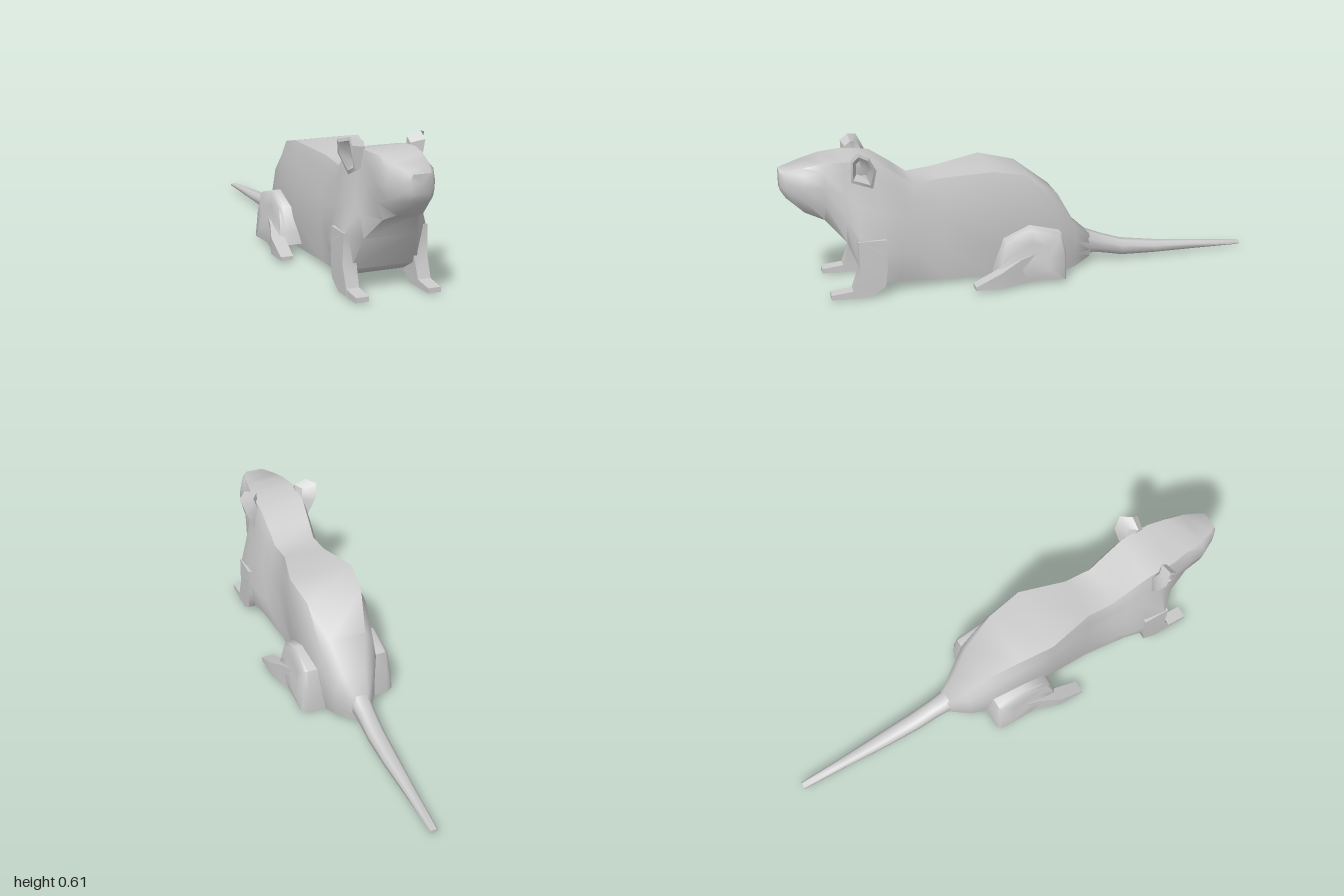
import * as THREE from 'three';
import { toCreasedNormals } from 'three/addons/utils/BufferGeometryUtils.js';

const material = new THREE.MeshStandardMaterial({ color: 0xcccccc, side: THREE.DoubleSide });

// Closed skin over a row of equal-length rings of [x, y, z], capped at both ends.
function loft(name, rings, crease = 1.0) {
  const n = rings[0].length;
  const pos = rings.flat();
  const index = [];
  for (let r = 0; r < rings.length - 1; r++) {
    for (let i = 0; i < n; i++) {
      const a = r * n + i, b = r * n + (i + 1) % n;
      index.push(a, b, b + n, a, b + n, a + n);
    }
  }
  for (const [r, flip] of [[0, true], [rings.length - 1, false]]) {
    const m = pos.length;
    pos.push([0, 1, 2].map(k => rings[r].reduce((s, p) => s + p[k], 0) / n));
    for (let i = 0; i < n; i++) {
      const a = r * n + i, b = r * n + (i + 1) % n;
      index.push(...(flip ? [m, b, a] : [m, a, b]));
    }
  }
  // turn the skin outward if its signed volume is negative
  const v = i => new THREE.Vector3(...pos[i]);
  let volume = 0;
  for (let i = 0; i < index.length; i += 3) {
    volume += v(index[i]).dot(v(index[i + 1]).cross(v(index[i + 2])));
  }
  if (volume < 0) index.reverse();
  const geo = new THREE.BufferGeometry();
  geo.setAttribute('position', new THREE.Float32BufferAttribute(pos.flat(), 3));
  geo.setIndex(index);
  const mesh = new THREE.Mesh(toCreasedNormals(geo, crease), material);
  mesh.name = name;
  return mesh;
}

// Symmetric ring at z from the points of its +x half, top to bottom.
const symmetric = (z, half) => [
  ...half.map(([x, y]) => [x, y, z]),
  ...half.slice().reverse().map(([x, y]) => [-x, y, z]),
];

// Rectangular rings, upright at z and level at y.
const upright = (z, x0, x1, y0, y1) => [[x0, y0, z], [x1, y0, z], [x1, y1, z], [x0, y1, z]];
const level = (y, x0, x1, z0, z1) => [[x0, y, z0], [x1, y, z0], [x1, y, z1], [x0, y, z1]];

function createBody() {
  // z, top, bottom, then half widths at top, middle, low and bottom
  const sections = [
    [1.00, .525, .45, .035, .043, .043, .035],
    [.98, .53, .42, .045, .062, .06, .045],
    [.91, .545, .355, .07, .10, .092, .055],
    [.83, .563, .32, .085, .105, .10, .07],
    [.75, .566, .23, .10, .106, .125, .11],
    [.70, .566, .10, .10, .12, .175, .14],
    [.62, .553, .055, .10, .13, .178, .15],
    [.54, .50, .05, .095, .125, .165, .13],
    [.47, .45, .042, .09, .115, .14, .12],
    [.35, .465, .03, .09, .105, .11, .105],
    [.15, .489, .022, .14, .152, .14, .105],
    [0, .455, .014, .12, .15, .14, .105],
    [-.14, .35, .005, .08, .13, .125, .105],
    [-.22, .212, .02, .05, .09, .09, .08],
    [-.30, .14, .04, .025, .038, .037, .03],
  ];
  return loft('body', sections.map(([z, top, bottom, wTop, wMid, wLow, wBottom]) => {
    const y = t => top + (bottom - top) * t;
    return symmetric(z, [
      [wTop, top], [wTop * .3 + wMid * .7, y(.13)], [wMid, y(.4)], [wLow, y(.7)], [wBottom, bottom],
    ]);
  }));
}

function createTail() {
  // z, bottom, top, half width
  const sections = [
    [-.20, .06, .21, .06], [-.27, .055, .158, .043], [-.36, .045, .122, .037],
    [-.45, .027, .092, .036], [-.60, .022, .07, .032], [-.80, .02, .052, .022],
    [-1.0, .018, .034, .016],
  ];
  return loft('tail', sections.map(([z, bottom, top, w]) => {
    const q = (top - bottom) * .3;
    return symmetric(z, [[w * .55, top], [w, top - q], [w, bottom + q], [w * .55, bottom]]);
  }));
}

function createFrontLeg() {
  const leg = new THREE.Group();
  leg.name = 'frontLeg';
  leg.add(loft('foreleg', [
    level(.25, .10, .175, .60, .715), level(.13, .12, .178, .60, .71),
    level(.05, .123, .177, .61, .74), level(.012, .123, .177, .67, .75),
  ]));
  leg.add(loft('frontPaw', [
    upright(.67, .123, .176, .01, .05), upright(.83, .123, .176, .013, .033),
  ]));
  return leg;
}

function createHindLeg() {
  const leg = new THREE.Group();
  leg.name = 'hindLeg';
  // side outline of the thigh as [z, y]
  const outline = [[.15, .05], [.14, .10], [.11, .20], [0, .25], [-.13, .212], [-.15, .12], [-.15, .01], [.02, .018]];
  const slice = (x, s, lean) => outline.map(([z, y]) =>
    [x + lean * (.25 - y), .12 + (y - .12) * s, z * s]);
  leg.add(loft('thigh', [slice(.10, 1, 0), slice(.175, 1, .03), slice(.187, .92, .09), slice(.192, .5, .1)]));
  leg.add(loft('hindFoot', [
    upright(-.02, .15, .20, .017, .14), upright(.05, .17, .214, .017, .125),
    upright(.14, .185, .243, .017, .085), upright(.25, .192, .245, .02, .035),
  ]));
  return leg;
}

function createEar() {
  const rim = [
    [.15, .585, .73], [.145, .612, .70], [.18, .60, .66],
    [.164, .54, .63], [.125, .455, .64], [.135, .49, .728],
  ];
  const centre = [.145, .54, .685];
  // rim shrunk toward its centre and shifted sideways
  const ring = (s, dx) => rim.map(p => p.map((v, k) => centre[k] + (v - centre[k]) * s + (k ? 0 : dx)));
  return loft('ear', [ring(.75, -.055), ring(1, 0), ring(.8, .003), ring(.45, -.025)], .6);
}

export function createModel() {
  const model = new THREE.Group();
  model.name = 'rodent';
  model.add(createBody(), createTail());
  for (const side of [1, -1]) {
    const half = new THREE.Group();
    half.name = side > 0 ? 'leftSide' : 'rightSide';
    half.add(createFrontLeg(), createHindLeg(), createEar());
    half.scale.x = side;
    model.add(half);
  }
  return model;
}
